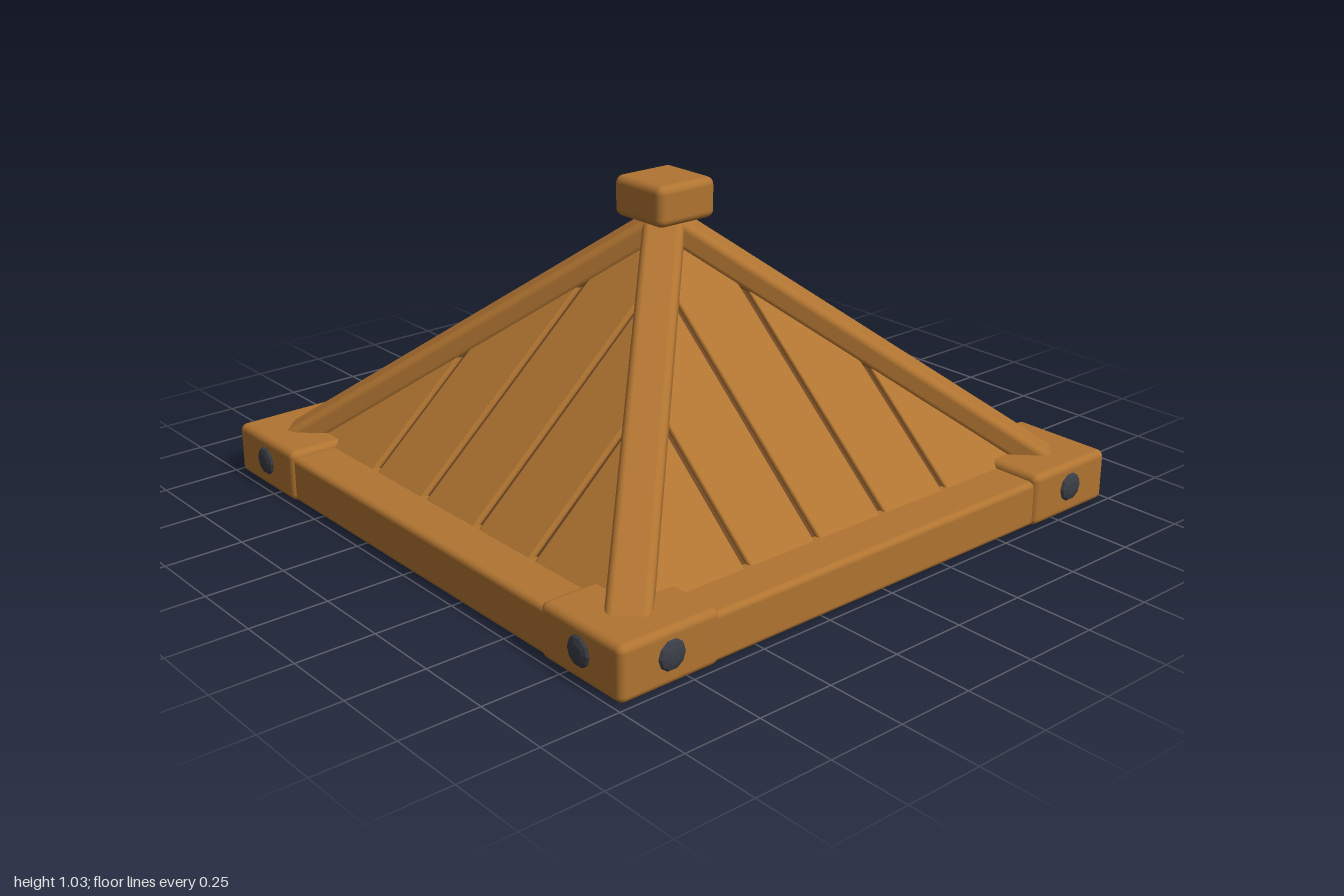
import * as THREE from 'three';
import { RoundedBoxGeometry } from 'three/addons/geometries/RoundedBoxGeometry.js';

const material = (name, color, flatShading = false) => {
  const m = new THREE.MeshStandardMaterial({ color, flatShading });
  m.name = name;
  return m;
};

export function createModel() {
  const wood = material('wood', 0xb07431);
  const darkWood = material('dark wood', 0x6b4423);
  const iron = material('iron', 0x3b3e46, true);

  const model = new THREE.Group();
  model.name = 'pyramidRoof';

  const add = (parent, name, geometry, mat, x = 0, y = 0, z = 0) => {
    const mesh = new THREE.Mesh(geometry, mat);
    mesh.name = name;
    mesh.position.set(x, y, z);
    parent.add(mesh);
    return mesh;
  };

  // Slope of the boarded faces
  const BASE_Z = 0.83, BASE_Y = 0.147, RISE = 0.895;
  const theta = Math.atan(RISE), cosT = Math.cos(theta);
  const ridge = x => (BASE_Z - Math.abs(x)) / cosT;

  // Board outline from x = a to b, cut off along the ridges
  const boardShape = (a, b) => {
    const pts = [[a, -0.02], [b, -0.02], [b, ridge(b)]];
    if (a < 0 && b > 0) pts.push([0, ridge(0)]);
    pts.push([a, ridge(a)]);
    return new THREE.Shape(pts.map(p => new THREE.Vector2(...p)));
  };
  const bevel = 0.008, thickness = 0.04;
  const plankGeometry = (a, b) => new THREE.ExtrudeGeometry(boardShape(a, b), {
    depth: thickness - 2 * bevel, bevelEnabled: true, bevelThickness: bevel,
    bevelSize: bevel, bevelOffset: -bevel, bevelSegments: 2,
  }).translate(0, 0, bevel - thickness);

  const seams = [-0.75, -0.405, -0.135, 0.135, 0.405, 0.75];
  const planks = seams.slice(1).map((b, i) => plankGeometry(seams[i] + 0.01, b - 0.01));
  const backing = new THREE.ExtrudeGeometry(boardShape(-0.8, 0.8), { depth: 0.012, bevelEnabled: false })
    .translate(0, 0, -0.027);

  // Frame, corner and bolt shapes
  const beam = new RoundedBoxGeometry(1.5, 0.147, 0.295, 3, 0.018);
  const block = new RoundedBoxGeometry(0.34, 0.167, 0.34, 3, 0.022);
  const bolt = new THREE.SphereGeometry(0.047, 10, 6).rotateX(Math.PI / 2).scale(1, 1, 0.016 / 0.047);

  // Ridge beam, running down a diagonal
  const phi = Math.atan(RISE / Math.SQRT2);
  const reach = 0.91 * Math.SQRT2, ridgeHeight = 0.085;
  const rafter = new RoundedBoxGeometry(0.128, ridgeHeight, reach / Math.cos(phi), 3, 0.024);

  for (let i = 0; i < 4; i++) {
    const side = new THREE.Group();
    side.name = 'side' + (i + 1);
    side.rotation.y = i * Math.PI / 2;
    model.add(side);

    add(side, 'frameBeam', beam, wood, 0, 0.0735, 0.8275);
    add(side, 'cornerBlock', block, wood, 0.815, 0.0835, 0.815);
    for (const s of [-1, 1]) add(side, 'bolt', bolt, iron, s * 0.814, 0.09, 0.984);

    // Sloping boards over a dark backing
    const panel = new THREE.Group();
    panel.name = 'boardedFace';
    panel.position.set(0, BASE_Y, BASE_Z);
    panel.rotation.x = theta - Math.PI / 2;
    side.add(panel);
    planks.forEach(g => add(panel, 'plank', g, wood));
    add(panel, 'backing', backing, darkWood);

    // Ridge beam over the joint between two faces
    const diagonal = new THREE.Group();
    diagonal.name = 'ridge';
    diagonal.rotation.y = Math.PI / 4;
    side.add(diagonal);
    const drop = ridgeHeight / 2;
    const r = add(diagonal, 'ridgeBeam', rafter, wood, 0,
      0.938 - reach / 2 * Math.tan(phi) - drop * Math.cos(phi),
      reach / 2 - drop * Math.sin(phi));
    r.rotation.x = phi;
  }

  // Cap over the peak
  add(model, 'peakCap', new RoundedBoxGeometry(0.226, 0.13, 0.226, 3, 0.026), wood, 0, 0.963, 0);

  return model;
}
